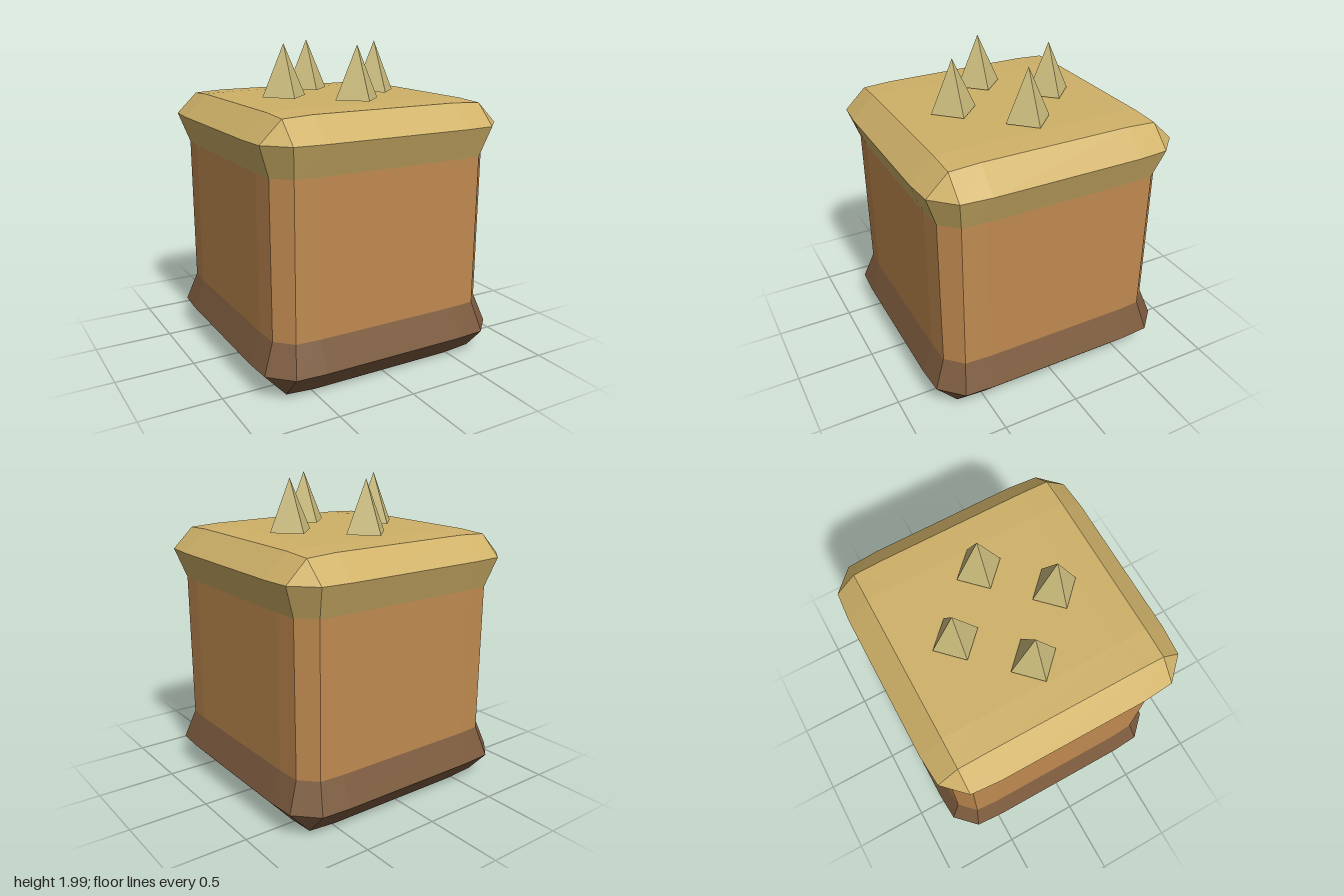
import * as THREE from 'three';

const material = (color) => new THREE.MeshStandardMaterial({ color, flatShading: true });

// Ring of 16 points: four sides of half-width h, chamfered at c, bowed between the corners
function ring({ h, c, y, bow = 0, lift = 0 }) {
  const points = [];
  const m = Math.min(0.48, c);
  for (let side = 0; side < 4; side++) {
    for (const [t, mid] of [[-c, 0], [-m, 1], [m, 1], [c, 0]]) {
      let x = t, z = h + mid * bow;
      for (let k = 0; k < side; k++) [x, z] = [z, -x];
      points.push(new THREE.Vector3(x, y + mid * lift, z));
    }
  }
  return points;
}

// Skin through a stack of rings from bottom to top, skipping collapsed triangles
function loft(name, color, sections) {
  const rings = sections.map(ring);
  const positions = [];
  const area = new THREE.Triangle();
  const tri = (a, b, c) => {
    if (area.set(a, b, c).getArea() > 1e-7) positions.push(...a, ...b, ...c);
  };
  for (let r = 0; r < rings.length - 1; r++) {
    const lo = rings[r], hi = rings[r + 1];
    for (let i = 0; i < 16; i++) {
      const j = (i + 1) % 16;
      tri(lo[i], lo[j], hi[j]);
      tri(lo[i], hi[j], hi[i]);
    }
  }
  const geometry = new THREE.BufferGeometry();
  geometry.setAttribute('position', new THREE.Float32BufferAttribute(positions, 3));
  geometry.computeVertexNormals();
  const mesh = new THREE.Mesh(geometry, material(color));
  mesh.name = name;
  return mesh;
}

export function createModel() {
  const model = new THREE.Group();
  model.name = 'spikedBlock';

  const wallBottom = { h: 0.735, c: 0.635, y: 0.365, bow: 0.01 };
  const wallTop = { h: 0.737, c: 0.635, y: 1.325, bow: 0.01 };

  // Dark flared foot with its underside
  model.add(loft('base', 0x7d5c3f, [
    { h: 0, c: 0, y: 0.01 },
    { h: 0.48, c: 0.48, y: 0.01 },
    { h: 0.67, c: 0.67, y: 0.03, lift: -0.015 },
    { h: 0.805, c: 0.67, y: 0.178, bow: 0.012 },
    wallBottom,
  ]));

  // Straight chamfered walls
  model.add(loft('walls', 0xc08a50, [wallBottom, wallTop]));

  // Flared cap with bevelled rim and nearly flat top
  model.add(loft('cap', 0xcfb168, [
    wallTop,
    { h: 0.805, c: 0.67, y: 1.518, bow: 0.015 },
    { h: 0.67, c: 0.67, y: 1.648, lift: 0.01 },
    { h: 0.48, c: 0.48, y: 1.665 },
    { h: 0, c: 0, y: 1.665 },
  ]));

  // Four pyramid spikes in a cross
  const spikeGeometry = new THREE.ConeGeometry(0.148, 0.325, 4);
  const spikeMaterial = material(0xcbbc7c);
  for (const [x, z] of [[0.33, 0], [-0.33, 0], [0, 0.33], [0, -0.33]]) {
    const spike = new THREE.Mesh(spikeGeometry, spikeMaterial);
    spike.name = 'spike';
    spike.position.set(x, 1.8375, z);
    model.add(spike);
  }
  return model;
}
